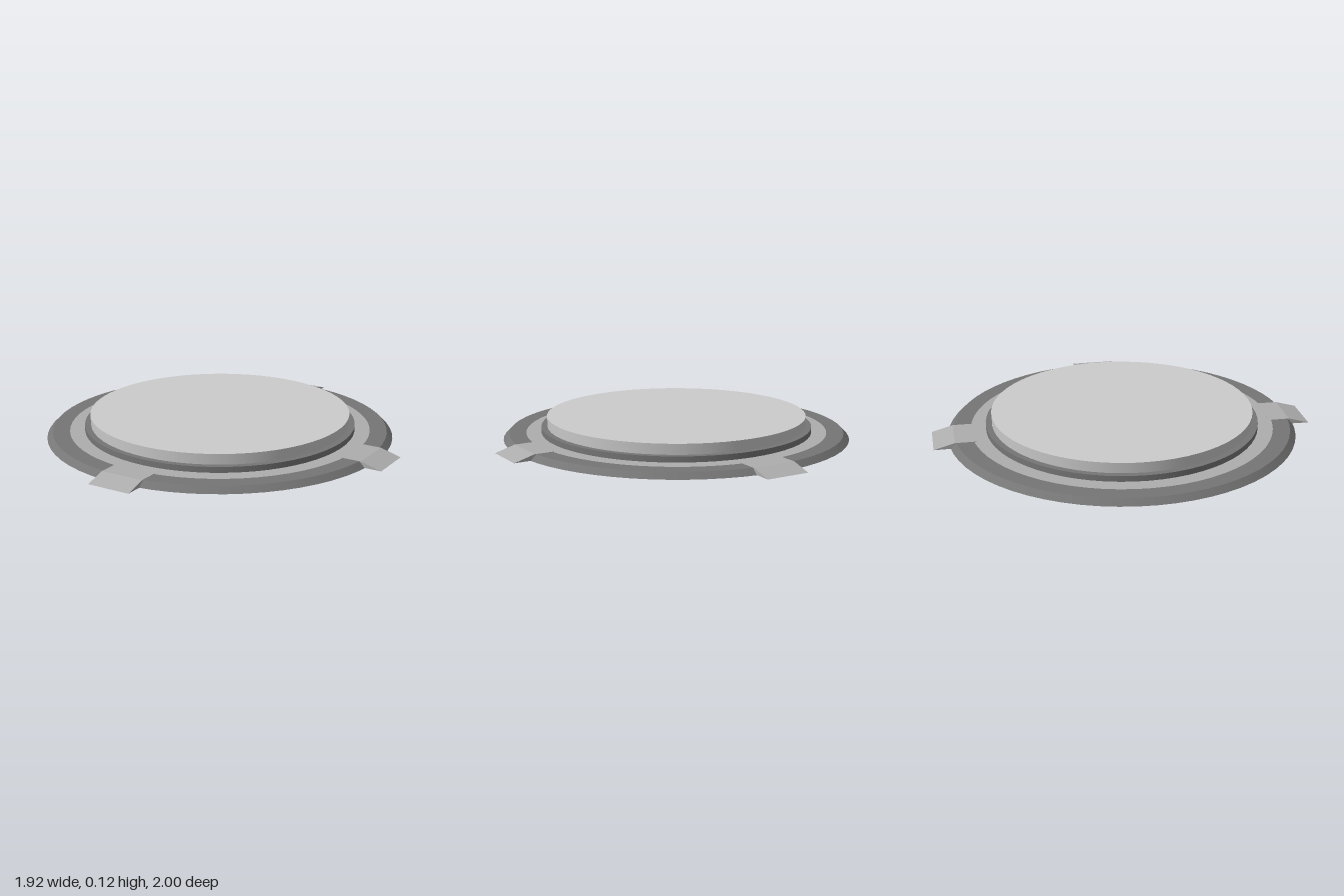
import * as THREE from 'three';

const SEGMENTS = 64;
const material = (color) => new THREE.MeshStandardMaterial({ color });

export function createModel() {
  const model = new THREE.Group();
  model.name = 'lidWithTabs';
  // The round body sits off centre because only three sides carry a tab
  const body = new THREE.Group();
  body.name = 'body';
  body.position.x = -0.04;
  model.add(body);

  const grey = material(0xcccccc);
  const light = material(0xaeaeae);
  const dark = material(0x767676);
  const black = material(0x080808);

  const add = (name, geometry, mat) => {
    const mesh = new THREE.Mesh(geometry, mat);
    mesh.name = name;
    body.add(mesh);
    return mesh;
  };
  // One lathe per straight profile section keeps every rim crisp
  const band = (name, from, to, mat) => add(name, new THREE.LatheGeometry(
    [new THREE.Vector2(...from), new THREE.Vector2(...to)], SEGMENTS), mat);

  // Base flange: underside, bevelled rim and flat top
  band('flangeUnderside', [0.68, 0], [0.92, 0], black);
  band('flangeBevel', [0.92, 0], [0.89, 0.03], dark);
  band('flangeTop', [0.89, 0.03], [0.8, 0.03], dark);
  band('lightRing', [0.8, 0.03], [0.72, 0.03], light);

  // Low step around the raised disc
  band('stepWall', [0.72, 0.03], [0.72, 0.06], dark);
  band('stepTop', [0.72, 0.06], [0.688, 0.06], dark);

  // Raised disc, running through to the underside
  const disc = add('disc', new THREE.CylinderGeometry(0.69, 0.685, 0.115, SEGMENTS), grey);
  disc.position.y = 0.0575;

  // Three tabs that slope down past the rim: left, front and back
  const profile = new THREE.Shape([
    [0.78, 0.002], [1, 0], [0.89, 0.031], [0.78, 0.031],
  ].map(([x, y]) => new THREE.Vector2(x, y)));
  const width = 0.235;
  const tabGeometry = new THREE.ExtrudeGeometry(profile, { depth: width, bevelEnabled: false });
  tabGeometry.translate(0, 0, -width / 2);
  [['leftTab', 0], ['frontTab', -Math.PI / 2], ['backTab', Math.PI / 2]].forEach(([name, angle]) => {
    add(name, tabGeometry, light).rotation.y = angle;
  });

  return model;
}
